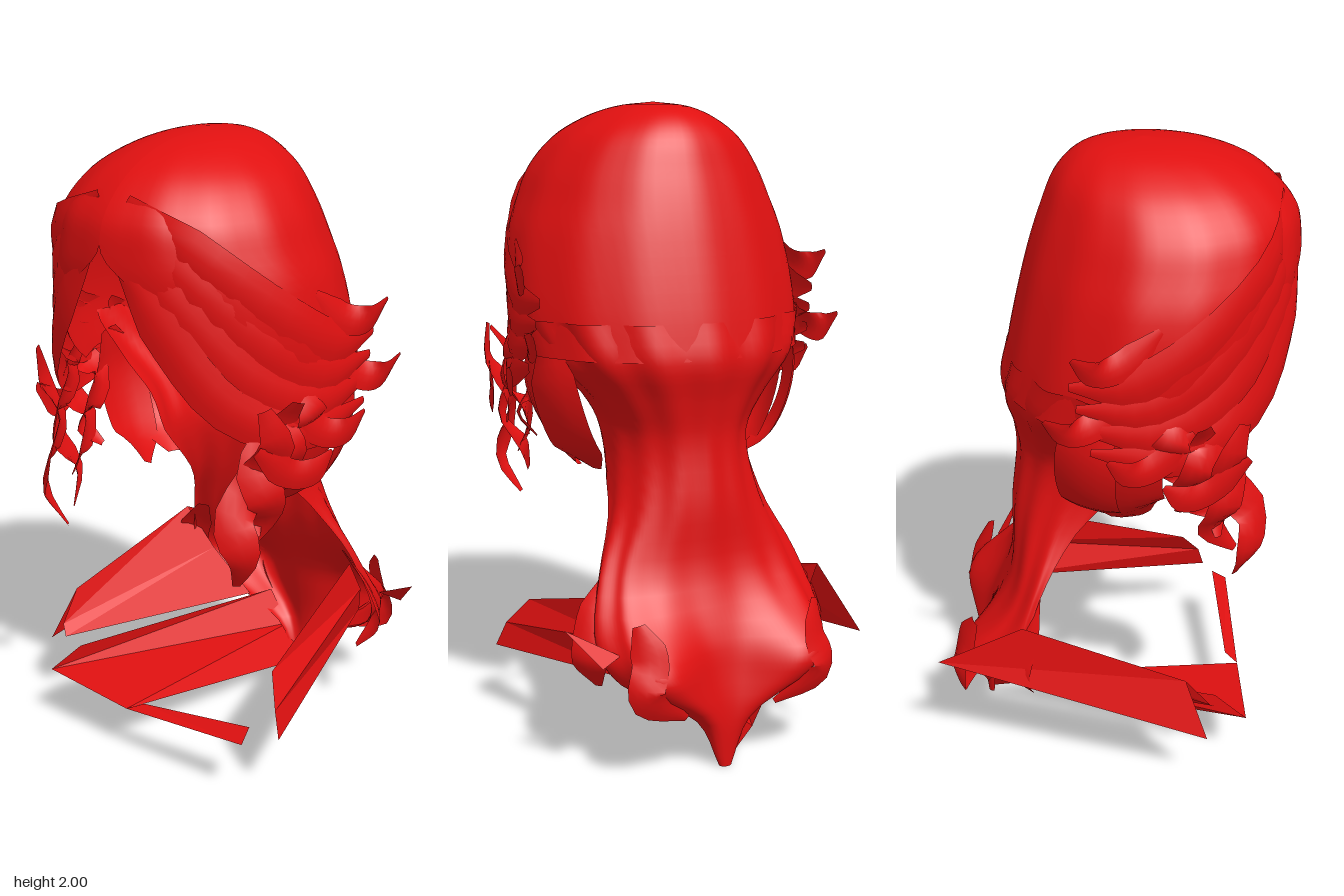
import * as THREE from 'three';

const red = new THREE.MeshStandardMaterial({ color: 0xe01010, side: THREE.DoubleSide });
red.name = 'red hair';
const V = (p) => new THREE.Vector3(...p);
const mix = (a, b, t) => a.map((v, i) => v + (b[i] - v) * t);

// Indexed sheet from a grid of points
function sheet(name, grid, flat) {
  const n = grid[0].length, idx = [];
  for (let r = 0; r < grid.length - 1; r++)
    for (let c = 0; c < n - 1; c++) {
      const a = r * n + c, b = a + n;
      idx.push(a, a + 1, b, a + 1, b + 1, b);
    }
  let g = new THREE.BufferGeometry();
  g.setAttribute('position', new THREE.Float32BufferAttribute(grid.flat(2), 3));
  g.setIndex(idx);
  if (flat) g = g.toNonIndexed();
  g.computeVertexNormals();
  const m = new THREE.Mesh(g, red);
  m.name = name;
  return m;
}

// Shell of horizontal sections: [y, half width, back z, front z, open angle]
function shell(name, rows, ridge) {
  const size = new THREE.CatmullRomCurve3(rows.map((r) => V(r.slice(0, 3))));
  const front = new THREE.CatmullRomCurve3(rows.map((r) => V([r[0], r[3], r[4] / 180])));
  const grid = [], steps = (rows.length - 1) * 4;
  for (let i = 0; i <= steps; i++) {
    const { x: y, y: a, z: zb } = size.getPoint(i / steps);
    const { y: zf, z: open } = front.getPoint(i / steps);
    const lobe = 0.12 * Math.exp(-(((y - 0.34) / 0.13) ** 2)); // two bunches near the ends
    const line = [];
    for (let c = 0; c <= 72; c++) {
      const th = Math.PI * Math.min(open, 1) * (c / 36 - 1);
      const s = 1 + ridge * Math.cos(th * 14) * Math.min(1, a * 3);
      line.push([a * s * Math.sin(th), y,
        (zb + zf) / 2 - (zf - zb) / 2 * s * Math.cos(th) - lobe * Math.sin(2 * th) ** 2]);
    }
    grid.push(line);
  }
  return sheet(name, grid);
}

// Tapering ribbon of hair, bulged away from the head
function lock(name, pts, width, side) {
  const path = new THREE.CatmullRomCurve3(pts.map(([x, y, z]) => V([x * side, y, z])));
  const grid = [], n = 14;
  for (let i = 0; i <= n; i++) {
    const t = i / n, p = path.getPoint(t);
    const out = new THREE.Vector3(p.x, 0, p.z - 0.08).normalize();
    const across = new THREE.Vector3().crossVectors(path.getTangent(t), out).normalize();
    const w = width / 2 * Math.min(1, 0.35 + 3 * t) * Math.min(1, 0.2 + 3 * (1 - t));
    grid.push([-1, -0.5, 0, 0.5, 1].map((k) =>
      p.clone().addScaledVector(across, k * w).addScaledVector(out, (1 - k * k) * w * 0.2).toArray()));
  }
  return sheet(name, grid);
}

// All the loose locks of one side
function sideLocks(side) {
  const group = new THREE.Group();
  group.name = side > 0 ? 'leftLocks' : 'rightLocks';
  const add = (name, pts, w) => group.add(lock(name, pts, w, side));

  // Fringe swept from the parting round to the side
  const low = [[0.06, 1.7, 0.54], [0.2, 1.5, 0.51], [0.34, 1.28, 0.4], [0.45, 1.18, 0.18], [0.48, 1.22, -0.06]];
  const high = [[0.05, 1.85, 0.49], [0.27, 1.72, 0.45], [0.425, 1.53, 0.25], [0.468, 1.42, 0.05], [0.465, 1.42, -0.12]];
  for (let i = 0; i < 4; i++) add('fringe', low.map((p, k) => mix(p, high[k], i / 3)), 0.13);

  // Flicked ends
  for (const [y, z] of [[1.49, -0.04], [1.3, -0.12], [1.17, 0.06], [1.09, 0.22]])
    add('flick', [[0.44, y + 0.09, z + 0.18], [0.47, y, z + 0.07], [0.5, y - 0.01, z], [0.52, y + 0.04, z - 0.07]], 0.09);

  // Wavy curls hanging beside the face
  for (let i = 0; i < 4; i++) {
    const pts = [0, 1, 2, 3, 4, 5].map((k) => [
      0.45 - 0.02 * k + 0.035 * Math.sin(k * 1.9 + i * 2), 1.3 - (0.115 - 0.015 * i) * k,
      0.34 - 0.06 * i + 0.015 * k + 0.04 * Math.cos(k * 1.9 + i * 2)]);
    add('curl', pts, 0.12);
  }

  // Loops behind the ears
  for (const z of [0.09, -0.04])
    add('earLock', [[0.42, 1.3, z], [0.4, 1.12, z - 0.04], [0.34, 0.97, z - 0.03], [0.25, 0.88, z + 0.01]], 0.2);

  // Ragged ends at the shoulders
  for (const d of [0, 0.2])
    add('shoulderLock', [[0.3, 0.6 - d / 2, -0.24 - d], [0.38 - d / 2, 0.46 - d / 3, -0.28 - d],
      [0.4 - d / 2, 0.36 - d / 3, -0.3 - d], [0.35 - d, 0.26 - d / 3, -0.26 - d]], 0.11);
  return group;
}

export function createModel() {
  const model = new THREE.Group();
  model.name = 'wig';

  // Crown with an arched face opening
  model.add(shell('crown', [
    [2.0, 0.001, 0.08, 0.081, 180],
    [1.985, 0.11, -0.06, 0.24, 180],
    [1.95, 0.2, -0.13, 0.36, 180],
    [1.89, 0.29, -0.18, 0.46, 180],
    [1.8, 0.36, -0.215, 0.535, 180],
    [1.71, 0.4, -0.245, 0.553, 179],
    [1.6, 0.44, -0.275, 0.55, 163],
    [1.4, 0.465, -0.32, 0.5, 145],
    [1.25, 0.45, -0.345, 0.41, 124],
  ], 0.006));

  // Back hair: narrow at the neck, flaring out, ending in a point
  model.add(shell('backHair', [
    [1.36, 0.46, -0.325, 0.4, 100],
    [1.24, 0.4, -0.35, 0.28, 118],
    [1.12, 0.29, -0.325, 0.2, 125],
    [1.0, 0.225, -0.31, 0.2, 122],
    [0.8, 0.25, -0.33, 0.05, 98],
    [0.6, 0.34, -0.34, -0.12, 90],
    [0.4, 0.385, -0.41, -0.2, 95],
    [0.3, 0.33, -0.43, -0.26, 95],
    [0.15, 0.09, -0.45, -0.37, 100],
    [0.0, 0.02, -0.44, -0.41, 110],
  ], 0.02));

  model.add(sideLocks(1), sideLocks(-1));

  // Long flat strands reaching forward: points across the front end, then the back end
  const strand = (name, front, back) =>
    model.add(sheet(name, front.map((p, i) => [p, back[i]]), true));
  strand('rightUpperStrand',
    [[-0.53, 0.22, 0.3], [-0.47, 0.4, 0.23], [-0.46, 0.3, 0.31], [-0.43, 0.27, 0.33]],
    [[-0.4, 0.41, -0.55], [-0.41, 0.55, -0.28], [-0.32, 0.4, -0.32], [-0.2, 0.23, -0.38]]);
  strand('leftUpperStrand',
    [[0.47, 0.22, 0.32], [0.44, 0.3, 0.3], [0.38, 0.39, 0.24]],
    [[0.25, 0.3, -0.42], [0.3, 0.42, -0.35], [0.3, 0.54, -0.28]]);
  strand('rightLowerWeb',
    [[-0.36, 0.26, 0.33], [-0.4, 0.2, 0.43], [-0.07, 0.17, 0.42]],
    [[-0.15, 0.24, -0.44], [-0.08, 0.12, -0.45], [0, 0.01, -0.43]]);

  // Thin strip joining the front ends
  strand('frontStrip',
    [[-0.07, 0.17, 0.42], [-0.03, 0.185, 0.38]],
    [[0.39, 0.21, 0.4], [0.38, 0.245, 0.35]]);

  // Stray pointed tip
  const tip = [0.5, 0.49, -0.355];
  strand('strayTip', [[0.34, 0.4, -0.4], [0.41, 0.38, -0.43]], [tip, tip]);
  return model;
}
